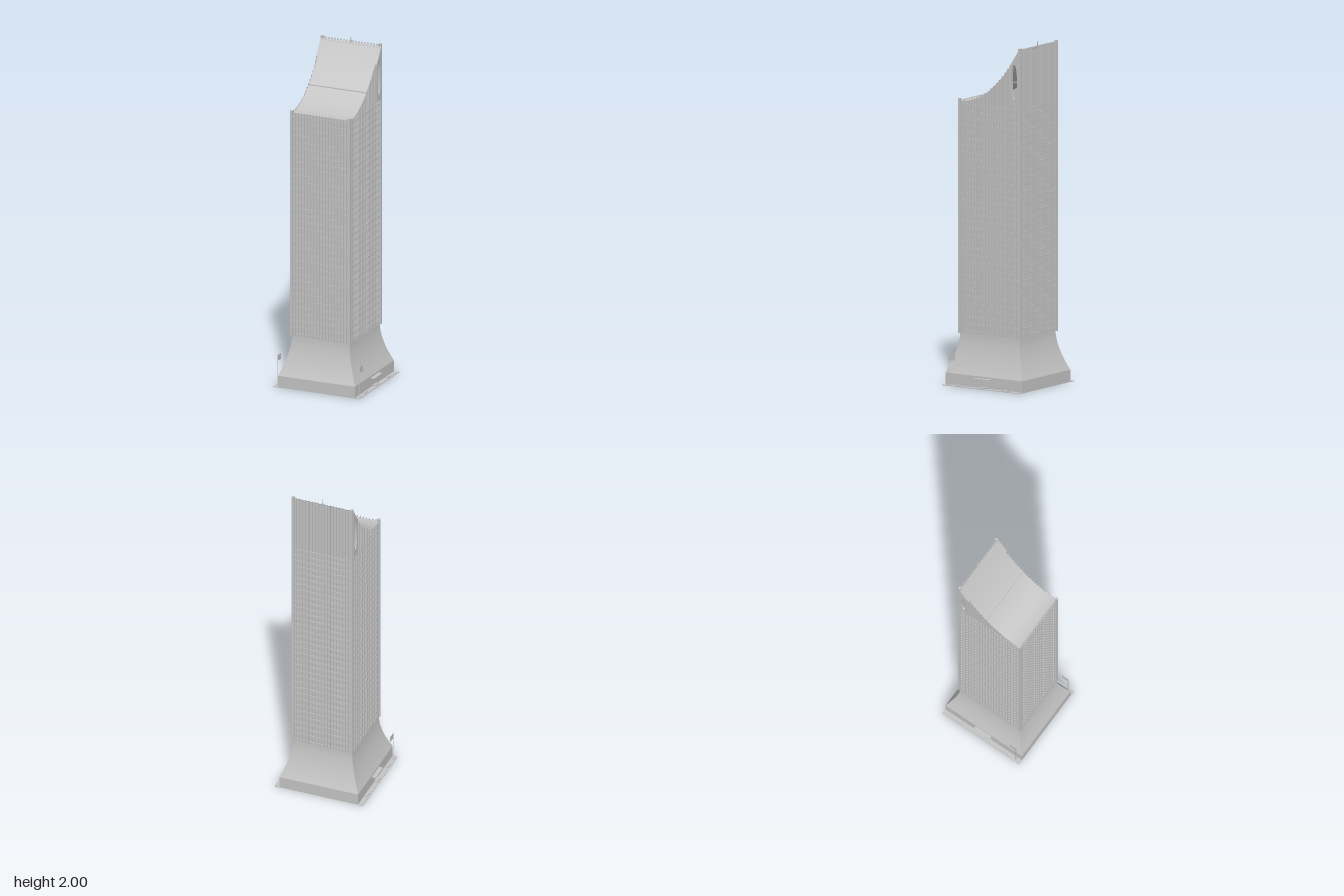
import * as THREE from 'three';
import { mergeGeometries, toCreasedNormals } from 'three/addons/utils/BufferGeometryUtils.js';

const HX = 0.18, HZ = 0.205, Y0 = 0.3, LOW = 1.635;
const roofY = (z) => LOW + 2 * Math.max(0, 0.2 - z) ** 2;

export function createModel() {
  const model = new THREE.Group();
  const stone = new THREE.MeshStandardMaterial({ color: 0xc4c4c4, side: THREE.DoubleSide });
  stone.name = 'pale grey stone';

  const add = (name, geometry) => {
    const mesh = new THREE.Mesh(geometry, stone);
    mesh.name = name;
    model.add(mesh);
    return mesh;
  };
  // Box given by its minimum and maximum corners
  const box = (x0, x1, y0, y1, z0, z1) =>
    new THREE.BoxGeometry(x1 - x0, y1 - y0, z1 - z0)
      .translate((x0 + x1) / 2, (y0 + y1) / 2, (z0 + z1) / 2);
  // Same box mirrored to the other side when s = -1
  const sideBox = (s, x0, x1, y0, y1, z0, z1) =>
    s > 0 ? box(x0, x1, y0, y1, z0, z1) : box(-x1, -x0, y0, y1, z0, z1);

  // Flared hollow base: square rings stacked upwards
  const rings = [[0, 0.061]];
  for (let i = 0; i <= 12; i++) {
    const t = 1 - i / 12;
    rings.push([Y0 - 0.23 * t, 0.061 * t ** 1.7]);
  }
  const pos = [], index = [];
  rings.forEach(([y, o]) => {
    const x = HX + o, z = HZ + o;
    pos.push(x, y, z, x, y, -z, -x, y, -z, -x, y, z);
  });
  for (let r = 0; r < rings.length - 1; r++) {
    for (let k = 0; k < 4; k++) {
      const a = r * 4 + k, b = r * 4 + (k + 1) % 4;
      index.push(a, b, b + 4, a, b + 4, a + 4);
    }
  }
  const base = new THREE.BufferGeometry();
  base.setAttribute('position', new THREE.Float32BufferAttribute(pos, 3));
  base.setIndex(index);
  add('flaredBase', toCreasedNormals(base, 0.33));
  add('lowerFloor', box(-HX, HX, Y0 - 0.005, Y0, -HZ, HZ));

  // Side walls with curved top and oval opening
  const ovalHole = () => new THREE.Path().absellipse(-0.175, 1.78, 0.02, 0.1, 0, Math.PI * 2, true);
  const sidePanel = (zBack, zFront, yBottom, depth) => {
    const shape = new THREE.Shape();
    shape.moveTo(zFront, yBottom);
    for (let i = 0; i <= 24; i++) {
      const z = zFront + (zBack - zFront) * i / 24;
      shape.lineTo(z, roofY(z));
    }
    shape.lineTo(zBack, yBottom);
    shape.holes.push(ovalHole());
    return new THREE.ExtrudeGeometry(shape, { depth, bevelEnabled: false, curveSegments: 24 })
      .rotateY(-Math.PI / 2);
  };
  for (const s of [1, -1]) {
    add('sideWall', sidePanel(-HZ, HZ, Y0, 0.006).translate(s > 0 ? HX : -HX + 0.006, 0, 0));
    add('ovalWindowFrame', sidePanel(-0.204, -0.142, 1.645, 0.01).translate(s > 0 ? 0.19 : -HX, 0, 0));
  }
  add('frontWall', box(-HX, HX, Y0, LOW, HZ - 0.006, HZ));
  add('backWall', box(-HX, HX, Y0, roofY(-0.2), -HZ, -HZ + 0.006));

  // Swept concave roof
  const roof = new THREE.PlaneGeometry(HX * 2, HZ * 2, 1, 32).rotateX(-Math.PI / 2);
  const p = roof.attributes.position;
  for (let i = 0; i < p.count; i++) p.setY(i, roofY(p.getZ(i)));
  roof.computeVertexNormals();
  add('sweptRoof', roof);
  const ry = roofY(-0.024);
  add('roofSeam', box(-HX, HX, ry - 0.004, ry + 0.003, -0.027, -0.021));

  // Vertical fins
  const fins = [];
  for (let i = 0; i < 18; i++) {
    const x = (i - 8.5) * 0.0188;
    fins.push(box(x - 0.002, x + 0.002, Y0, 1.64, HZ, 0.213));
    fins.push(box(x - 0.002, x + 0.002, Y0, 1.97, -0.213, -HZ));
  }
  for (let i = 0; i < 20; i++) {
    const z = (i - 9.5) * 0.0195;
    const top = z < -0.142 ? 1.645 : roofY(z) + 0.003;
    for (const s of [1, -1]) fins.push(sideBox(s, HX, 0.187, Y0, top, z - 0.002, z + 0.002));
  }
  add('verticalFins', mergeGeometries(fins));

  // Floor bands between the fins
  const bands = [];
  for (let i = 0; i < 34; i++) {
    const y = Y0 + 0.008 + i * 0.0395;
    bands.push(box(-HX - 0.004, HX + 0.004, y, y + 0.011, HZ, HZ + 0.005));
    bands.push(box(-HX - 0.004, HX + 0.004, y, y + 0.011, -HZ - 0.005, -HZ));
    for (const s of [1, -1]) bands.push(sideBox(s, HX, HX + 0.004, y, y + 0.011, -HZ, HZ));
  }
  add('floorBands', mergeGeometries(bands));

  for (const s of [1, -1]) {
    // Corner piers
    add('frontCornerPier', sideBox(s, 0.172, 0.188, Y0 - 0.003, 1.65, 0.2, 0.215));
    add('backCornerPier', sideBox(s, 0.172, 0.188, Y0 - 0.003, 1.975, -0.217, -0.202));

    // Pavement with steps, planters and entrance canopy
    add('pavement', sideBox(s, 0.24, 0.27, 0, 0.004, -0.27, 0.268));
    add('entranceCanopy', sideBox(s, 0.236, 0.266, 0.056, 0.06, -0.057, 0.055));
    add('entranceStep', sideBox(s, 0.241, 0.262, 0.004, 0.01, -0.022, 0.022));
    for (const z of [-0.16, 0.157])
      add('planter', sideBox(s, 0.247, 0.263, 0.004, 0.01, z - 0.021, z + 0.021));

    // Flagpole with flag
    add('flagpoleFoot', sideBox(s, 0.251, 0.262, 0.004, 0.008, 0.231, 0.24));
    add('flagpole', new THREE.CylinderGeometry(0.002, 0.002, 0.18, 8).translate(s * 0.2565, 0.094, 0.2355));
    add('flag', sideBox(s, 0.2558, 0.2572, 0.148, 0.182, 0.19, 0.236));
  }

  // Roof mast
  add('mastFoot', box(-0.004, 0.004, 1.955, 1.972, -0.21, -0.201));
  add('mast', new THREE.CylinderGeometry(0.0012, 0.002, 0.03, 8).translate(0, 1.985, -0.205));

  return model;
}
